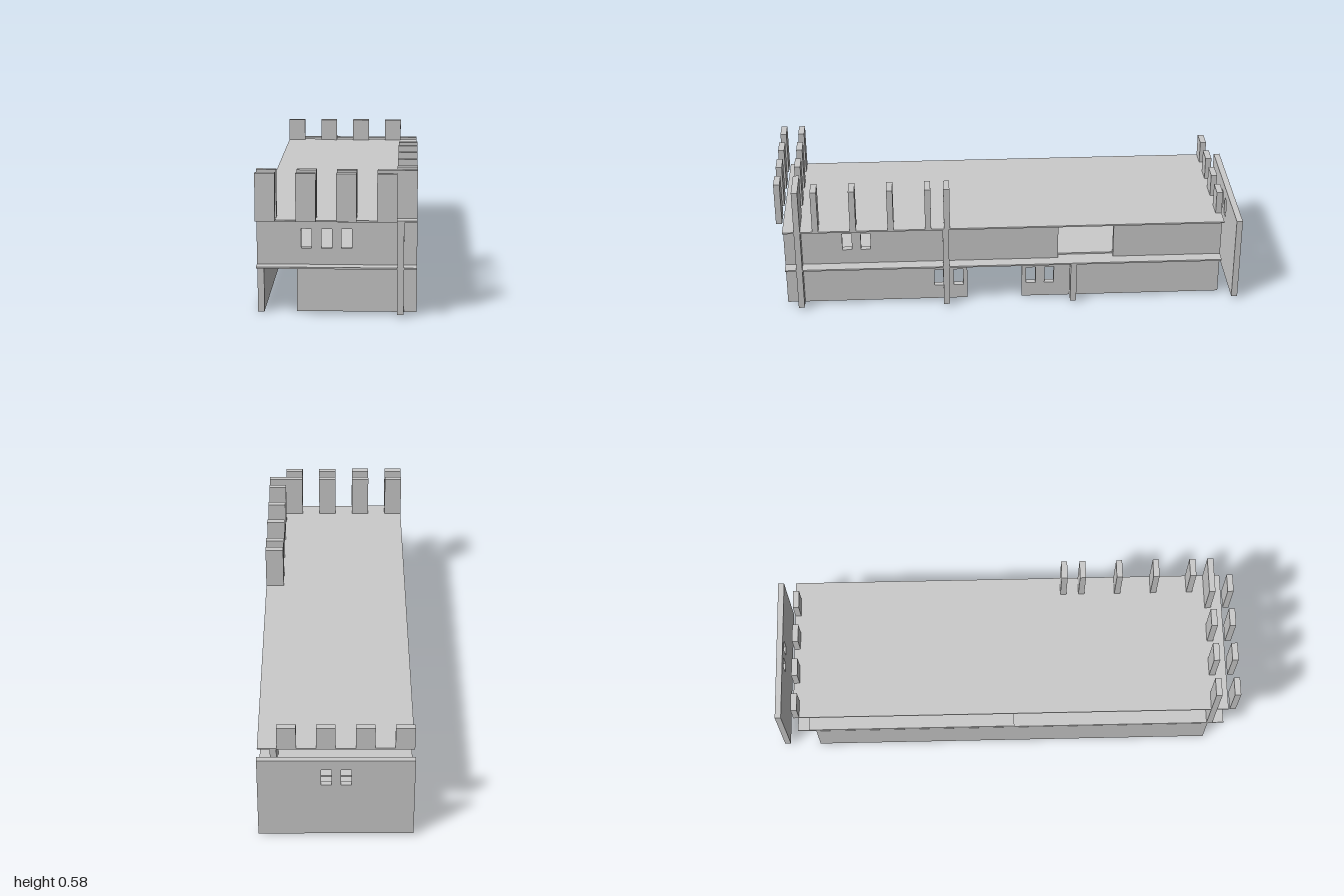
import * as THREE from 'three';

export function createModel() {
  const model = new THREE.Group();
  const mat = new THREE.MeshStandardMaterial({ color: 0xcccccc, flatShading: true });
  const T = 0.026; // wall thickness

  function box(name, x0, x1, y0, y1, z0, z1) {
    const mesh = new THREE.Mesh(new THREE.BoxGeometry(x1 - x0, y1 - y0, z1 - z0), mat);
    mesh.position.set((x0 + x1) / 2, (y0 + y1) / 2, (z0 + z1) / 2);
    mesh.name = name;
    model.add(mesh);
  }

  // flat panel with rectangular holes [u0, u1, v0, v1], extruded by the wall thickness
  function panel(u0, u1, v0, v1, holes) {
    const rect = (P, a, b, c, d) => {
      const p = new P();
      p.moveTo(a, c);
      p.lineTo(b, c);
      p.lineTo(b, d);
      p.lineTo(a, d);
      p.closePath();
      return p;
    };
    const shape = rect(THREE.Shape, u0, u1, v0, v1);
    for (const h of holes) shape.holes.push(rect(THREE.Path, ...h));
    return new THREE.ExtrudeGeometry(shape, { depth: T, bevelEnabled: false });
  }

  // wall across the building, its rear face at z
  function crossWall(name, x0, x1, y0, y1, z, holes = []) {
    const mesh = new THREE.Mesh(panel(x0, x1, y0, y1, holes), mat);
    mesh.position.z = z;
    mesh.name = name;
    model.add(mesh);
  }

  // wall along the building, its inner face at x
  function sideWall(name, z0, z1, y0, y1, x, holes = []) {
    const flipped = holes.map(([a, b, c, d]) => [-b, -a, c, d]);
    const mesh = new THREE.Mesh(panel(-z1, -z0, y0, y1, flipped), mat);
    mesh.rotation.y = Math.PI / 2;
    mesh.position.x = x;
    mesh.name = name;
    model.add(mesh);
  }

  const W = 0.315, inner = 0.238, outer = 0.264;
  const low = [0.01, 0.193], high = [0.2, 0.381];
  const windows = (starts, y0) => starts.map((s) => [s, s + 0.041, y0, y0 + 0.078]);

  // floors and roof
  box('middleFloor', -W, W, 0.193, 0.2, -0.92, 0.97);
  box('raisedFloor', -W, inner, 0.2, 0.207, -0.87, 0.04);
  box('roof', -W, W, 0.381, 0.388, -0.92, 0.97);
  box('groundPlate', -W, 0, 0, 0.008, -0.7, -0.53);

  // front, back and interior cross walls
  crossWall('upperFrontWall', -W, inner, ...high, 0.895, windows([-0.14, -0.061, 0.018], 0.265));
  crossWall('lowerFrontWall', -0.158, inner, ...low, 0.895);
  crossWall('backWall', -W, W, 0.01, 0.388, -1, windows([-0.061, 0.018], 0.265));
  crossWall('upperInnerWall', -0.158, inner, ...high, 0.263, windows([-0.12, -0.04, 0.04], 0.265));
  for (const z of [0.263, -0.289])
    crossWall('lowerInnerWall', -0.079, inner, ...low, z, windows([-0.04, 0.04, 0.12], 0.076));

  // left-hand long walls, set in from the floor edge
  sideWall('upperSideWallFront', -0.21, 0.97, ...high, inner, windows([0.6, 0.68], 0.267));
  sideWall('upperSideWallBack', -0.92, -0.45, ...high, inner);
  sideWall('lowerSideWallFront', 0.185, 0.97, ...low, inner, windows([0.203, 0.287], 0.076));
  sideWall('lowerSideWallBack', -0.92, -0.053, ...low, inner, windows([-0.193, -0.113], 0.076));

  // right-hand lower wall
  box('rightWall', -W, -W + T, 0, 0.19, -0.84, 0.9);

  // short fins outside the long walls
  for (const z of [0.895, 0.263]) {
    box('lowerFin', outer, W, ...low, z, z + T);
    box('upperFin', outer, W, ...high, z, z + T);
  }
  box('lowerFin', outer, W, ...low, -0.289, -0.289 + T);

  // battlements: two front rows, one back row, one side row
  for (let i = 0; i < 4; i++) {
    const x = -W + i * 0.158;
    box('frontMerlon', x, x + 0.078, 0.388, 0.578, 0.974, 1);
    box('secondRowMerlon', x, i === 3 ? W : x + 0.078, 0.388, 0.578, 0.895, 0.921);
    box('backMerlon', x, x + 0.078, 0.388, 0.488, -0.92, -0.894);
  }
  for (const z of [0.27, 0.35, 0.51, 0.67, 0.83])
    box('sideMerlon', 0.236, W, 0.388, 0.578, z - T / 2, z + T / 2);

  return model;
}
